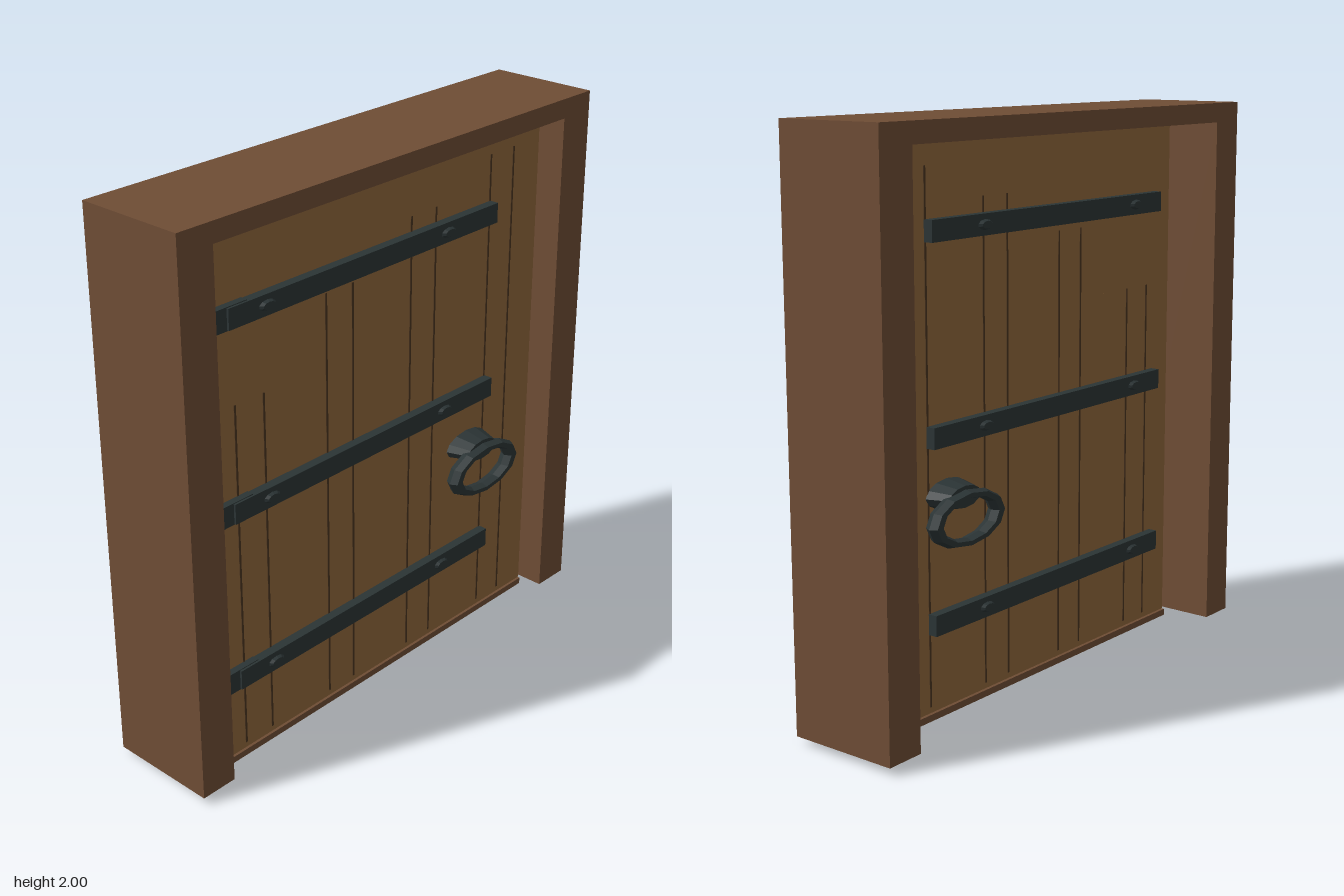
import * as THREE from 'three';

const mat = (name, color) => {
  const m = new THREE.MeshStandardMaterial({ color });
  m.name = name;
  return m;
};

export function createModel() {
  const frameWood = mat('frame brown', 0x6f4d35);
  const doorWood = mat('door oak', 0x8f673b);
  const grooveWood = mat('groove brown', 0x4a3420);
  const iron = mat('dark iron', 0x2b3435);

  const model = new THREE.Group();
  model.name = 'door';

  const add = (parent, name, geometry, material, x = 0, y = 0, z = 0) => {
    const mesh = new THREE.Mesh(geometry, material);
    mesh.name = name;
    mesh.position.set(x, y, z);
    parent.add(mesh);
    return mesh;
  };
  // box given by its minimum and maximum on each axis
  const box = (parent, name, material, x0, x1, y0, y1, z0, z1) =>
    add(parent, name, new THREE.BoxGeometry(x1 - x0, y1 - y0, z1 - z0), material,
      (x0 + x1) / 2, (y0 + y1) / 2, (z0 + z1) / 2);

  // frame: one inverted U, open at the bottom
  const outline = new THREE.Shape([
    [-0.973, 0.027], [-0.835, 0.027], [-0.835, 1.93], [0.83, 1.93],
    [0.83, 0.027], [0.973, 0.027], [0.973, 2], [-0.973, 2],
  ].map(([x, y]) => new THREE.Vector2(x, y)));
  const frameGeo = new THREE.ExtrudeGeometry(outline, { depth: 0.408, bevelEnabled: false });
  add(model, 'frame', frameGeo, frameWood, 0, 0, -0.208);

  // threshold under the leaf
  box(model, 'threshold', frameWood, -0.822, 0.818, 0, 0.024, -0.018, 0.11);

  // leaf of four planks, each with a pair of grooves on both faces
  const front = 0.1, back = -0.006, mid = (front + back) / 2;
  const left = -0.826, plankWidth = 0.412;
  const leaf = new THREE.Group();
  leaf.name = 'leaf';
  model.add(leaf);
  [1.33, 1.58, 1.73, 1.845].forEach((top, i) => {
    const x0 = left + i * plankWidth;
    box(leaf, 'plank', doorWood, x0, x0 + plankWidth, 0.024, 1.92, back, front);
    for (const side of [-1, 1]) {
      const x = x0 + plankWidth / 2 + side * 0.0625;
      box(leaf, 'groove', grooveWood, x - 0.004, x + 0.004, 0.045, top, back - 0.002, front + 0.002);
    }
  });

  // straps run through the leaf, with rivets on both faces and a hinge in front
  const rivetGeo = new THREE.CylinderGeometry(0.026, 0.037, 0.012, 10);
  rivetGeo.rotateX(Math.PI / 2).scale(1, 0.5, 1);
  const reach = 0.034;
  for (const y of [0.336, 0.97, 1.64]) {
    const strap = new THREE.Group();
    strap.name = 'strapHinge';
    model.add(strap);
    box(strap, 'strap', iron, -0.725, 0.558, y - 0.036, y + 0.036, back - reach, front + reach);
    box(strap, 'hingeLink', iron, -0.805, -0.64, y - 0.039, y + 0.039, front, front + 0.026);
    box(strap, 'hingeKnuckle', iron, -0.822, -0.80, y - 0.04, y + 0.04, front, front + 0.04);
    box(strap, 'hingePlate', iron, -0.835, -0.818, y - 0.058, y + 0.058, front - 0.005, front + 0.065);
    for (const x of [-0.563, 0.295]) {
      add(strap, 'frontRivet', rivetGeo, iron, x, y, front + reach + 0.005);
      add(strap, 'backRivet', rivetGeo, iron, x, y, back - reach - 0.005).rotation.y = Math.PI;
    }
  }

  // squashed ring pull on an oval boss, one on each face
  const ringGeo = new THREE.TorusGeometry(0.156, 0.029, 6, 12);
  ringGeo.scale(1, 0.52, 1);
  const bossGeo = new THREE.CylinderGeometry(0.078, 0.106, 0.08, 12);
  bossGeo.rotateX(Math.PI / 2).scale(1, 0.48, 1);
  for (const side of [1, -1]) {
    const handle = new THREE.Group();
    handle.name = side > 0 ? 'frontHandle' : 'backHandle';
    handle.position.set(0.46, 0, mid);
    handle.rotation.y = side > 0 ? 0 : Math.PI;
    model.add(handle);
    add(handle, 'boss', bossGeo, iron, 0, 0.766, front - mid + 0.04);
    add(handle, 'ring', ringGeo, iron, 0, 0.695, front - mid + 0.083);
  }
  for (const m of [iron]) m.flatShading = true;
  return model;
}
